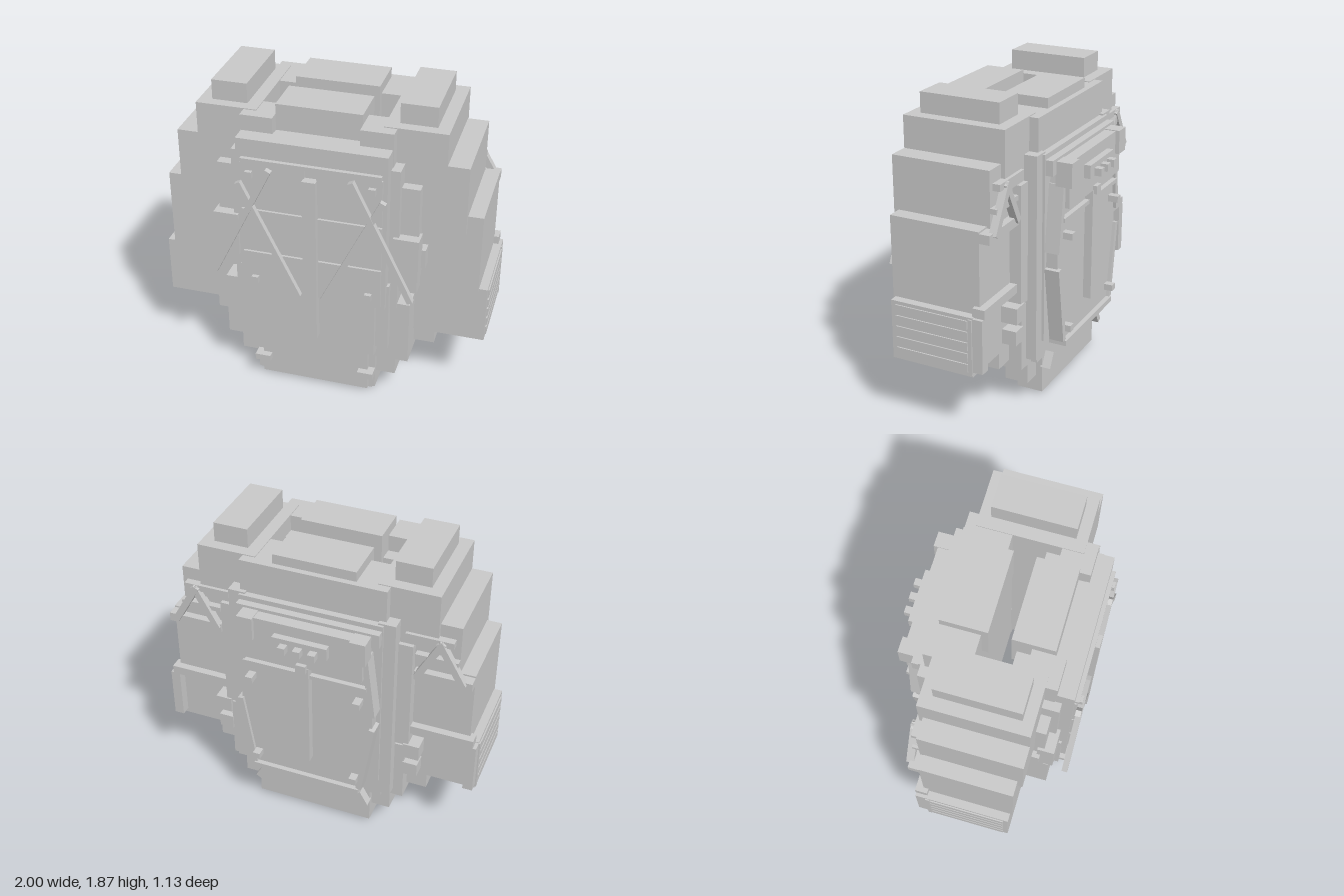
import * as THREE from 'three';

export function createModel() {
  const root = new THREE.Group();
  root.name = 'armouredTorso';
  const grey = new THREE.MeshStandardMaterial({ color: 0xc8c8c8 });
  grey.name = 'light grey';

  // Box from its limits on each axis
  function box(name, x0, x1, y0, y1, z0, z1) {
    const m = new THREE.Mesh(new THREE.BoxGeometry(x1 - x0, y1 - y0, z1 - z0), grey);
    m.position.set((x0 + x1) / 2, (y0 + y1) / 2, (z0 + z1) / 2);
    m.name = name;
    root.add(m);
  }
  // Box centred on x = 0
  const mid = (name, half, ...r) => box(name, -half, half, ...r);
  // Left box and its mirror image
  function pair(name, x0, x1, ...r) {
    box(name + 'Left', x0, x1, ...r);
    box(name + 'Right', -x1, -x0, ...r);
  }
  // Straight bar between two points of the x-y plane, mirrored
  function barPair(name, ax, ay, bx, by, w, z0, z1) {
    for (const s of [1, -1]) {
      const len = Math.hypot(bx - ax, by - ay);
      const m = new THREE.Mesh(new THREE.BoxGeometry(w, len, z1 - z0), grey);
      m.position.set(s * (ax + bx) / 2, (ay + by) / 2, (z0 + z1) / 2);
      m.rotation.z = -s * Math.atan2(bx - ax, by - ay);
      m.name = name + (s > 0 ? 'Left' : 'Right');
      root.add(m);
    }
  }

  // Front and back walls around the open core
  mid('frontWall', 0.44, 0.31, 1.645, 0.14, 0.41);
  pair('frontWallTop', 0.25, 0.44, 1.6, 1.745, 0.225, 0.418);
  mid('backWall', 0.44, 0.25, 1.745, -0.33, -0.06);
  mid('frontCollar', 0.25, 1.5, 1.805, 0.11, 0.355);
  mid('backCollar', 0.25, 1.5, 1.805, -0.295, -0.02);

  // Stepped shoulders and side pods
  pair('shoulderCap', 0.44, 0.65, 1.74, 1.87, -0.205, 0.285);
  pair('upperShoulder', 0.365, 0.725, 1.4, 1.75, -0.275, 0.35);
  pair('middleShoulder', 0.365, 0.85, 1.14, 1.56, -0.25, 0.35);
  pair('sideBlock', 0.365, 0.94, 0.745, 1.245, -0.23, 0.32);
  pair('sidePod', 0.365, 0.99, 0.4, 0.76, -0.21, 0.305);
  pair('podBackEdge', 0.93, 0.99, 0.43, 0.755, -0.27, -0.2);
  pair('lowerSide', 0.365, 0.69, 0.3, 0.45, -0.21, 0.28);

  // Slatted vents on the pods
  for (let i = 0; i < 5; i++) {
    const y = 0.425 + i * 0.066;
    pair('ventSlat', 0.985, 0.998, y, y + 0.05, -0.18, 0.275);
  }
  pair('ventEdge', 0.985, 0.998, 0.41, 0.75, -0.208, -0.185);

  // Front flanks
  pair('frontFlank', 0.36, 0.49, 0.63, 1.54, 0.3, 0.45);
  pair('frontFlankOuter', 0.48, 0.595, 0.73, 1.42, 0.3, 0.41);
  pair('frontPouch', 0.46, 0.61, 0.85, 1.12, 0.37, 0.47);
  pair('sidePouch', 0.58, 0.635, 0.9, 1.02, 0.3, 0.39);
  pair('hipFlank', 0.36, 0.565, 0.25, 0.66, 0.145, 0.44);
  pair('hipStrip', 0.37, 0.45, 0.36, 0.8, 0.4, 0.485);
  pair('hipTab', 0.36, 0.485, 0.125, 0.4, 0.26, 0.42);

  // Chest plate and panels
  mid('chestPlate', 0.435, 0.66, 1.65, 0.4, 0.515);
  mid('chestRail', 0.405, 1.515, 1.54, 0.51, 0.54);
  for (const [y0, y1] of [[0.675, 0.925], [0.945, 1.21], [1.225, 1.51]])
    pair('chestPanel', 0.035, 0.41, y0, y1, 0.5, 0.53);
  mid('chestBar', 0.04, 0.4, 1.46, 0.5, 0.565);
  barPair('longStrap', 0.235, 1.49, 0.59, 0.765, 0.035, 0.53, 0.565);
  barPair('shortStrap', 0.42, 1.39, 0.075, 0.68, 0.035, 0.53, 0.562);
  pair('upperStud', 0.335, 0.375, 1.425, 1.465, 0.52, 0.555);
  pair('lowerStud', 0.32, 0.36, 0.725, 0.765, 0.52, 0.555);

  // Abdomen and front skirt
  mid('abdomen', 0.375, 0.31, 0.66, 0.2, 0.515);
  mid('frontSkirt', 0.37, 0.02, 0.32, 0.26, 0.45);
  mid('frontSkirtPlate', 0.33, 0.02, 0.32, 0.4, 0.48);
  mid('skirtLip', 0.35, 0.003, 0.035, 0.395, 0.44);
  pair('skirtClip', 0.275, 0.37, 0.125, 0.165, 0.44, 0.52);

  // Back skirt and flanks
  mid('backSkirt', 0.37, 0.02, 0.27, -0.33, -0.165);
  pair('backTab', 0.36, 0.485, 0.125, 0.4, -0.29, -0.145);
  pair('backHip', 0.36, 0.565, 0.25, 0.66, -0.29, -0.055);
  pair('backFlank', 0.4, 0.505, 0.3, 1.55, -0.355, -0.2);
  pair('backFlankOuter', 0.48, 0.59, 0.68, 1.4, -0.3, -0.2);
  pair('backPouch', 0.56, 0.66, 0.59, 0.69, -0.31, -0.2);
  pair('backPouchLower', 0.56, 0.65, 0.45, 0.54, -0.3, -0.2);

  // Back plate with angled edge strips
  mid('backPlate', 0.435, 0.4, 1.54, -0.37, -0.3);
  mid('backRim', 0.43, 1.42, 1.51, -0.415, -0.35);
  const outline = new THREE.Shape([[-0.33, 0.36], [0.33, 0.36], [0.41, 0.86], [0.41, 0.96],
    [0.36, 1.46], [-0.36, 1.46], [-0.41, 0.96], [-0.41, 0.86]].map(p => new THREE.Vector2(...p)));
  const panel = new THREE.Mesh(
    new THREE.ExtrudeGeometry(outline, { depth: 0.08, bevelEnabled: false }), grey);
  panel.position.z = -0.44;
  panel.name = 'backPanel';
  root.add(panel);
  barPair('upperEdgeStrip', 0.365, 1.36, 0.415, 0.96, 0.035, -0.46, -0.37);
  barPair('lowerEdgeStrip', 0.415, 0.86, 0.34, 0.38, 0.035, -0.46, -0.37);
  mid('backHeader', 0.36, 1.22, 1.49, -0.485, -0.4);
  pair('headerKnob', 0.29, 0.385, 1.35, 1.495, -0.51, -0.41);
  mid('lampBase', 0.165, 1.34, 1.42, -0.525, -0.47);
  for (const x of [-0.09, 0, 0.09]) box('lamp', x - 0.022, x + 0.022, 1.345, 1.39, -0.57, -0.5);
  mid('backRail', 0.38, 1.14, 1.165, -0.47, -0.38);
  mid('spine', 0.04, 0.53, 1.22, -0.49, -0.4);
  mid('spineCap', 0.03, 1.2, 1.25, -0.51, -0.4);
  mid('lowerRail', 0.34, 0.345, 0.38, -0.47, -0.36);
  pair('backStudUpper', 0.31, 0.355, 1.03, 1.07, -0.505, -0.43);
  pair('backStudLower', 0.29, 0.335, 0.44, 0.48, -0.495, -0.43);
  barPair('backClip', 0.31, 0.27, 0.36, 0.18, 0.035, -0.385, -0.32);

  // Rails and trusses behind the sides
  pair('podRail', 0.55, 0.97, 0.755, 0.81, -0.275, -0.2);
  pair('trussTop', 0.54, 0.82, 1.44, 1.48, -0.295, -0.24);
  pair('trussBottom', 0.6, 0.94, 1.18, 1.235, -0.295, -0.22);
  pair('trussMiddle', 0.6, 0.85, 1.32, 1.35, -0.29, -0.24);
  barPair('trussOuterBrace', 0.74, 1.47, 0.89, 1.21, 0.04, -0.315, -0.27);
  barPair('trussInnerBrace', 0.76, 1.47, 0.62, 1.21, 0.04, -0.31, -0.265);
  return root;
}
